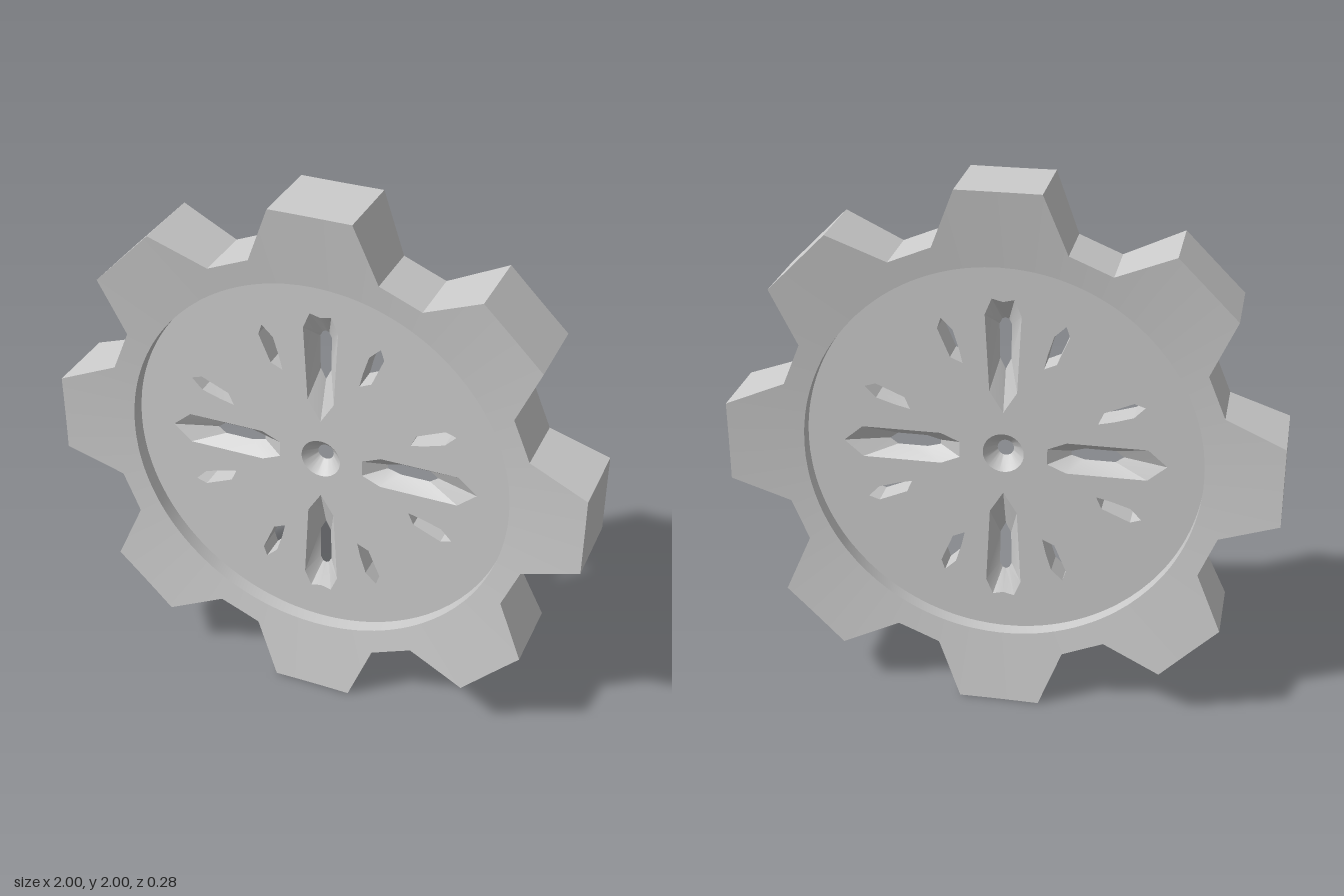
import * as THREE from 'three';
import { toCreasedNormals } from 'three/addons/utils/BufferGeometryUtils.js';

const TEETH = 8, RECESS_R = 0.725, RIM_Z = 0.105, DISC_Z = 0.05;
const material = new THREE.MeshStandardMaterial({ color: 0xcccccc });
const V2 = (x, y) => new THREE.Vector2(x, y);

// Force a 2D loop to run counter-clockwise
const ccw = (loop) => (THREE.ShapeUtils.isClockWise(loop) ? loop.slice().reverse() : loop);
// Lift a 2D loop to 3D; z is a number or a function of the point
const lift = (loop, z) => loop.map((p) => new THREE.Vector3(p.x, p.y, typeof z === 'function' ? z(p) : z));

// Band of quads between two closed loops of equal length
function loft(a, b) {
  const pos = [];
  for (let i = 0; i < a.length; i++) {
    const j = (i + 1) % a.length;
    for (const p of [a[i], b[i], b[j], a[i], b[j], a[j]]) pos.push(p.x, p.y, p.z);
  }
  const g = new THREE.BufferGeometry();
  g.setAttribute('position', new THREE.Float32BufferAttribute(pos, 3));
  return toCreasedNormals(g, 0.4);
}

function addMesh(parent, name, geometry) {
  const mesh = new THREE.Mesh(geometry, material);
  mesh.name = name;
  parent.add(mesh);
}

function gearOutline() {
  const corners = [];
  for (let t = 0; t < TEETH; t++) {
    for (const [r, w] of [[0.785, -0.235], [1, -0.15], [1, 0.15], [0.785, 0.235]]) {
      corners.push(V2(r, w).rotateAround(V2(0, 0), (t * 2 * Math.PI) / TEETH));
    }
  }
  // Subdivide each edge so the inner circle is round
  return corners.flatMap((c, i) => {
    const next = corners[(i + 1) % corners.length];
    return [0, 0.25, 0.5, 0.75].map((s) => c.clone().lerp(next, s));
  });
}

const circle = (r, n) => Array.from({ length: n }, (_, i) =>
  V2(r * Math.cos((i * 2 * Math.PI) / n), r * Math.sin((i * 2 * Math.PI) / n)));

// Sunken openings: loop at the disc surface, loop at the mid-plane
function openings() {
  const list = [{ name: 'hubHole', top: circle(0.075, 32), mid: circle(0.03, 32) }];

  // Bevelled main slots, given as [along, across]
  const upright = {
    top: [[0.16, 0], [0.24, 0.05], [0.53, 0.065], [0.59, 0.04], [0.58, 0], [0.59, -0.04], [0.53, -0.065], [0.24, -0.05]],
    mid: [[0.31, 0], [0.35, 0.02], [0.48, 0.022], [0.5, 0.012], [0.505, 0], [0.5, -0.012], [0.48, -0.022], [0.35, -0.02]],
  };
  const level = {
    top: [[0.16, 0.03], [0.23, 0.06], [0.52, 0.06], [0.59, 0], [0.52, -0.06], [0.23, -0.06], [0.16, -0.03]],
    mid: [[0.24, 0.008], [0.29, 0.022], [0.4, 0.022], [0.43, 0], [0.4, -0.022], [0.29, -0.022], [0.24, -0.008]],
  };
  const small = [[0.145, 0.34], [0.19, 0.36], [0.235, 0.465], [0.222, 0.505], [0.18, 0.465], [0.158, 0.395]];
  for (const s of [1, -1]) {
    const up = (l) => l.map(([u, v]) => V2(v, s * u));
    const side = (l) => l.map(([u, v]) => V2(s * u, v));
    list.push({ name: 'uprightSlot', top: up(upright.top), mid: up(upright.mid) });
    list.push({ name: 'levelSlot', top: side(level.top), mid: side(level.mid) });
    // Straight-walled small slots, mirrored into every octant
    for (const q of [1, -1]) {
      const a = small.map(([x, y]) => V2(s * x, q * y));
      const b = small.map(([x, y]) => V2(s * y, q * x));
      list.push({ name: 'smallSlot', top: a, mid: a }, { name: 'smallSlot', top: b, mid: b });
    }
  }
  return list.map((o) => ({ name: o.name, top: ccw(o.top), mid: ccw(o.mid) }));
}

export function createModel() {
  const model = new THREE.Group();
  model.name = 'gearWheel';
  const outline = gearOutline();
  const inner = outline.map((p) => p.clone().setLength(RECESS_R));
  const rimZ = (p) => RIM_Z + (p.length() - RECESS_R) * 0.127;
  const holes = openings();

  // Flared toothed edge
  const edge = loft(lift(outline, rimZ), lift(outline, (p) => -rimZ(p)));
  addMesh(model, 'toothedEdge', edge);

  // Each side: rim face, recess wall, pierced disc
  for (const side of ['front', 'back']) {
    const half = new THREE.Group();
    half.name = side + 'Side';
    if (side === 'back') half.rotation.y = Math.PI;
    addMesh(half, 'rimFace', loft(lift(inner, RIM_Z), lift(outline, rimZ)));
    addMesh(half, 'recessWall', loft(lift(inner, DISC_Z), lift(inner, RIM_Z)));
    const disc = new THREE.Shape(inner);
    disc.holes = holes.map((h) => new THREE.Path(h.top));
    addMesh(half, 'disc', new THREE.ShapeGeometry(disc).translate(0, 0, DISC_Z));
    for (const h of holes) addMesh(half, h.name, loft(lift(h.mid, 0), lift(h.top, DISC_Z)));
    model.add(half);
  }

  // Stand the wheel on the ground
  for (const part of model.children) part.position.y = 1;
  return model;
}
